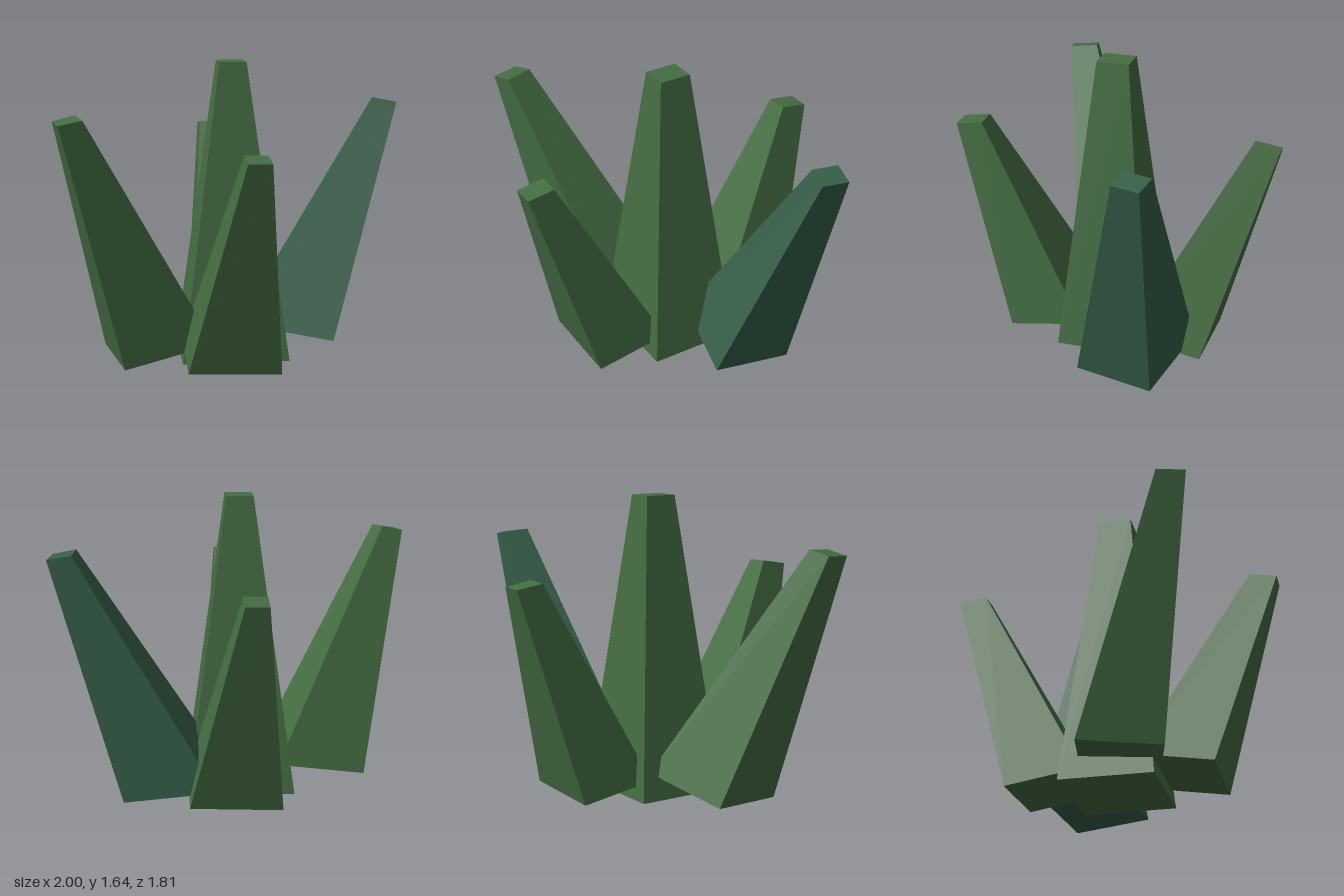
import * as THREE from 'three';

// Tapered four-sided leaf. Rings run counter-clockwise seen from above, as [x, y, z].
function taperedLeaf(bottom, top) {
  const pos = [];
  const quad = (a, b, c, d) => pos.push(...a, ...b, ...c, ...a, ...c, ...d);
  for (let i = 0; i < 4; i++) {
    const j = (i + 1) % 4;
    quad(bottom[i], bottom[j], top[j], top[i]);
  }
  quad(...top);
  quad(...[...bottom].reverse());
  const geo = new THREE.BufferGeometry();
  geo.setAttribute('position', new THREE.Float32BufferAttribute(pos, 3));
  geo.computeVertexNormals();
  return geo;
}

// Level rectangular ring
const rect = (x0, x1, z0, z1, y) => [[x0, y, z1], [x1, y, z1], [x1, y, z0], [x0, y, z0]];

// Half turn about the plant's axis
const halfTurn = (ring) => ring.map(([x, y, z]) => [-0.045 - x, y, -z]);

export function createModel() {
  const group = new THREE.Group();
  const leafGreen = new THREE.MeshStandardMaterial({ color: 0x456d43, flatShading: true });
  leafGreen.name = 'leafGreen';
  const blueGreen = new THREE.MeshStandardMaterial({ color: 0x37604a, flatShading: true });
  blueGreen.name = 'blueGreen';

  const add = (name, bottom, top, material) => {
    const mesh = new THREE.Mesh(taperedLeaf(bottom, top), material);
    mesh.name = name;
    group.add(mesh);
  };

  // Upright middle leaf
  add('centreLeaf', rect(-0.317, 0.272, -0.258, 0.258, 0), rect(-0.097, 0.052, -0.09, 0.09, 1.64), leafGreen);

  // Front leaf and its half-turned twin at the back
  const frontBottom = [[-0.315, 0.04, 0.572], [0.183, 0.022, 0.572], [0.183, 0.09, 0.148], [-0.315, 0.11, 0.148]];
  const frontTop = [[-0.045, 1.2, 0.907], [0.08, 1.198, 0.907], [0.08, 1.22, 0.755], [-0.045, 1.225, 0.755]];
  add('frontLeaf', frontBottom, frontTop, leafGreen);
  add('backLeaf', halfTurn(frontBottom), halfTurn(frontTop), leafGreen);

  // Leaf leaning to the left, bluer than the rest
  add('leftLeaf',
    [[0.06, 0.125, -0.07], [0.56, 0.045, 0.043], [0.625, 0.015, -0.39], [0.12, 0.1, -0.503]],
    [[0.85, 1.395, -0.31], [0.975, 1.368, -0.283], [1.0, 1.36, -0.433], [0.87, 1.385, -0.46]],
    blueGreen);

  // Leaf leaning to the right
  add('rightLeaf',
    [[-0.64, 0.015, 0.378], [-0.145, 0.11, 0.265], [-0.235, 0.14, -0.165], [-0.732, 0.045, -0.055]],
    [[-0.97, 1.362, 0.572], [-0.845, 1.385, 0.545], [-0.88, 1.397, 0.395], [-1.0, 1.37, 0.422]],
    leafGreen);

  return group;
}
